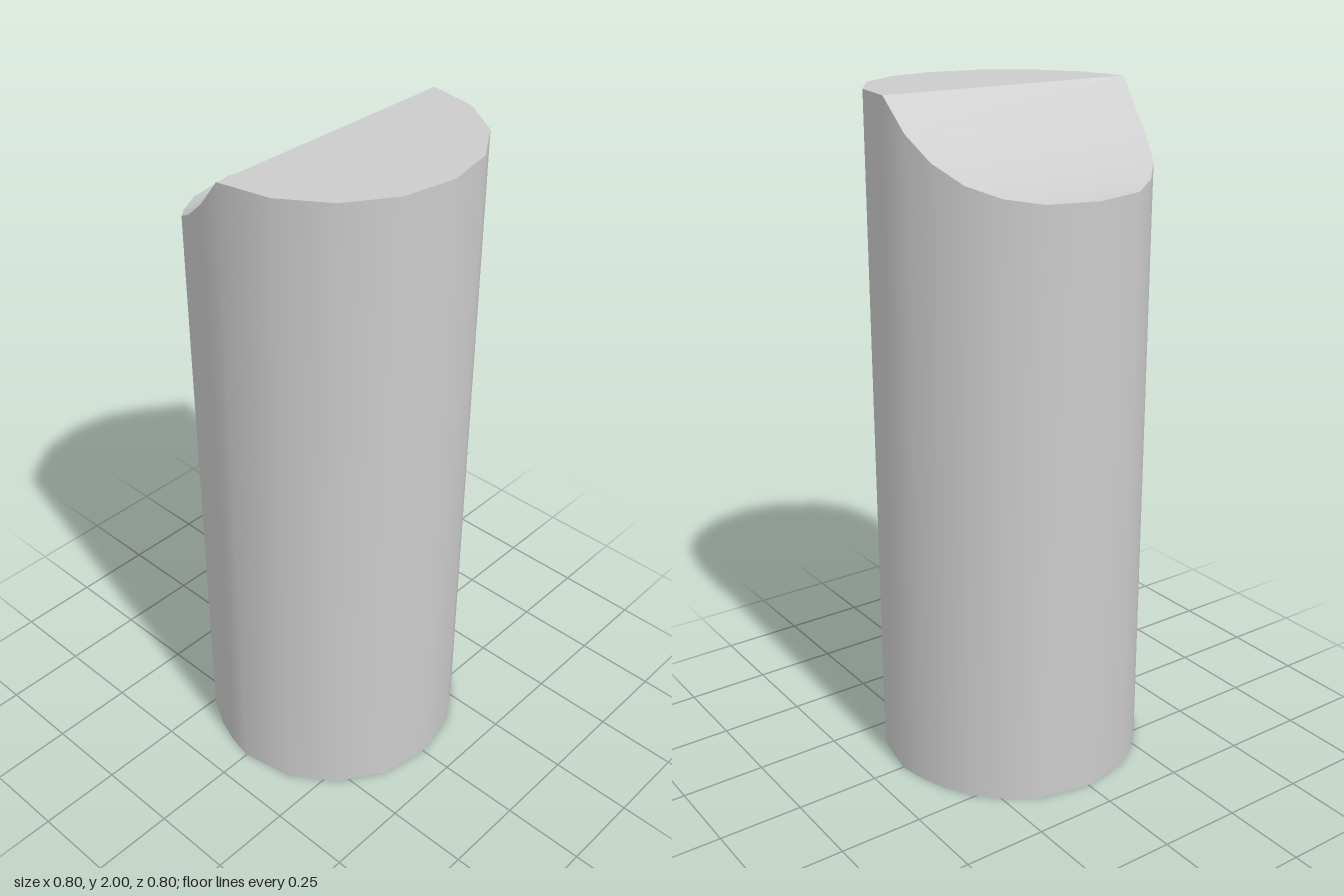
import * as THREE from 'three';
import { toCreasedNormals } from 'three/addons/utils/BufferGeometryUtils.js';

// Rows from front to back: [half width, z, top height]
const rows = [
  [0, 0.4, 2], [0.153, 0.37, 2], [0.283, 0.283, 2], [0.37, 0.153, 2], [0.4, 0, 2],
  [0.385, -0.078, 1.91], [0.358, -0.157, 1.845], [0.312, -0.24, 1.795],
  [0.243, -0.31, 1.765], [0.153, -0.37, 1.75], [0, -0.4, 1.747],
];

export function createModel() {
  const positions = [];
  const tri = (...pts) => pts.forEach((p) => positions.push(...p));
  const quad = (a, b, c, d) => { tri(a, b, c); tri(a, c, d); };
  // Panel between two rows; narrows to a triangle at the tips
  const strip = (l0, r0, r1, l1) => {
    if (l0[0] === r0[0]) tri(l0, r1, l1);
    else if (l1[0] === r1[0]) tri(l0, r0, r1);
    else quad(l0, r0, r1, l1);
  };

  for (let i = 0; i < rows.length - 1; i++) {
    const [w0, z0, y0] = rows[i];
    const [w1, z1, y1] = rows[i + 1];
    // Flat front top and scooped back top
    strip([-w0, y0, z0], [w0, y0, z0], [w1, y1, z1], [-w1, y1, z1]);
    // Base
    strip([w0, 0, z0], [-w0, 0, z0], [-w1, 0, z1], [w1, 0, z1]);
    // Left and right walls
    quad([w0, 0, z0], [w1, 0, z1], [w1, y1, z1], [w0, y0, z0]);
    quad([-w1, 0, z1], [-w0, 0, z0], [-w0, y0, z0], [-w1, y1, z1]);
  }

  let geometry = new THREE.BufferGeometry();
  geometry.setAttribute('position', new THREE.Float32BufferAttribute(positions, 3));
  geometry = toCreasedNormals(geometry, 0.6);

  const post = new THREE.Mesh(geometry, new THREE.MeshStandardMaterial({ color: 0xcccccc }));
  post.name = 'scoopedPost';
  const group = new THREE.Group();
  group.name = 'post';
  group.add(post);
  return group;
}
